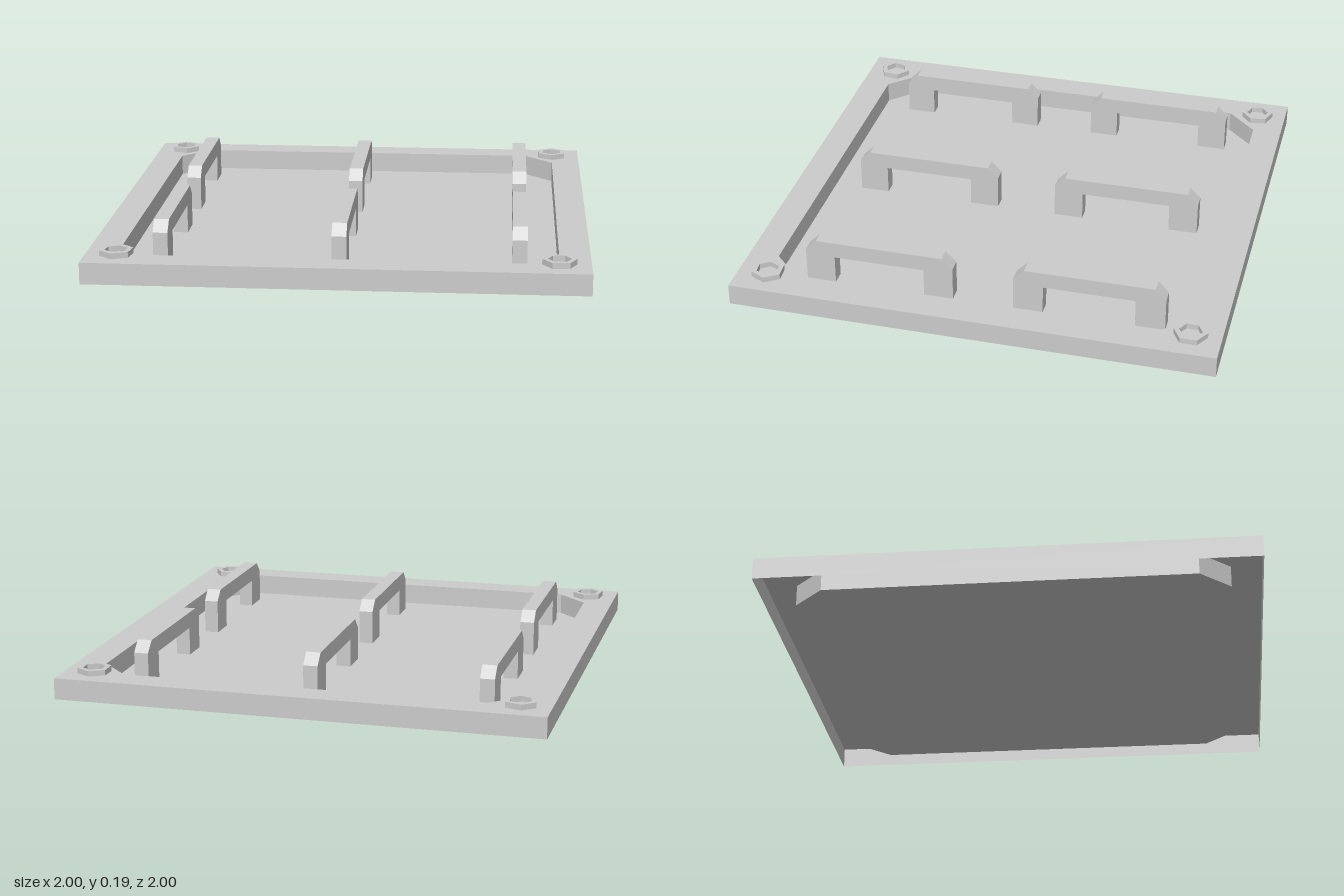
import * as THREE from 'three';

const TOP = 0.088; // height of the rim
const mat = new THREE.MeshStandardMaterial({ color: 0xcccccc, flatShading: true, side: THREE.DoubleSide });

function add(parent, name, geometry) {
  const mesh = new THREE.Mesh(geometry, mat);
  mesh.name = name;
  parent.add(mesh);
  return mesh;
}

const points = (list) => list.map(([x, y]) => new THREE.Vector2(x, y));

// Flat sheet lying in the xz plane, facing up
function sheet(outline, y, hole) {
  const shape = new THREE.Shape(outline);
  if (hole) shape.holes.push(new THREE.Path(hole));
  return new THREE.ShapeGeometry(shape).rotateX(-Math.PI / 2).translate(0, y, 0);
}

// Thin upright wall following a closed outline from y0 to y1
function wall(outline, y0, y1) {
  const pos = [];
  outline.forEach((a, i) => {
    const b = outline[(i + 1) % outline.length];
    pos.push(a.x, y0, -a.y, b.x, y0, -b.y, b.x, y1, -b.y);
    pos.push(a.x, y0, -a.y, b.x, y1, -b.y, a.x, y1, -a.y);
  });
  const g = new THREE.BufferGeometry();
  g.setAttribute('position', new THREE.Float32BufferAttribute(pos, 3));
  g.computeVertexNormals();
  return g;
}

// Grab handle: chamfered bracket profile along z, extruded across x
function handleGeometry() {
  const half = 0.313, inner = 0.19, y0 = 0.002, top = 0.19, c = 0.045;
  const shape = new THREE.Shape(points([
    [-half, y0], [-inner, y0], [-inner, 0.122], [inner, 0.122], [inner, y0], [half, y0],
    [half, top - c], [half - c, top], [c - half, top], [-half, top - c],
  ]));
  return new THREE.ExtrudeGeometry(shape, { depth: 0.06, bevelEnabled: false })
    .translate(0, 0, -0.03).rotateY(-Math.PI / 2);
}

// Hexagonal nut with a hexagonal opening, lying on the rim
function nutGeometry() {
  const hex = (r) => Array.from({ length: 6 }, (_, i) =>
    new THREE.Vector2(r * Math.cos(i * Math.PI / 3), r * Math.sin(i * Math.PI / 3)));
  const shape = new THREE.Shape(hex(0.069));
  shape.holes.push(new THREE.Path(hex(0.047)));
  return new THREE.ExtrudeGeometry(shape, { depth: 0.023, bevelEnabled: false }).rotateX(-Math.PI / 2);
}

export function createModel() {
  const model = new THREE.Group();
  model.name = 'hatchPlate';

  // Pressed tray: skirt, rim, and chamfered recess, open underneath
  const square = points([[-1, -1], [1, -1], [1, 1], [-1, 1]]);
  const a = 0.875, b = 0.75;
  const recess = points([[-b, -a], [b, -a], [a, -b], [a, b], [b, a], [-b, a], [-a, b], [-a, -b]]);
  add(model, 'skirt', wall(square, 0, TOP));
  add(model, 'rim', sheet(square, TOP, recess));
  add(model, 'recessWall', wall([...recess].reverse(), 0, TOP));
  add(model, 'recessFloor', sheet(recess, 0));

  // Two rows of three handles
  const handle = handleGeometry();
  for (const x of [-0.72, 0, 0.72]) {
    for (const z of [-0.44, 0.44]) add(model, 'handle', handle).position.set(x, 0, z);
  }

  // Corner nuts, each turned a little differently
  const nut = nutGeometry();
  for (const [sx, sz, deg] of [[-1, -1, 40], [1, -1, 30], [-1, 1, 22], [1, 1, 4]]) {
    const mesh = add(model, 'cornerNut', nut);
    mesh.position.set(sx * 0.875, TOP, sz * 0.875);
    mesh.rotation.y = THREE.MathUtils.degToRad(deg);
  }
  return model;
}
